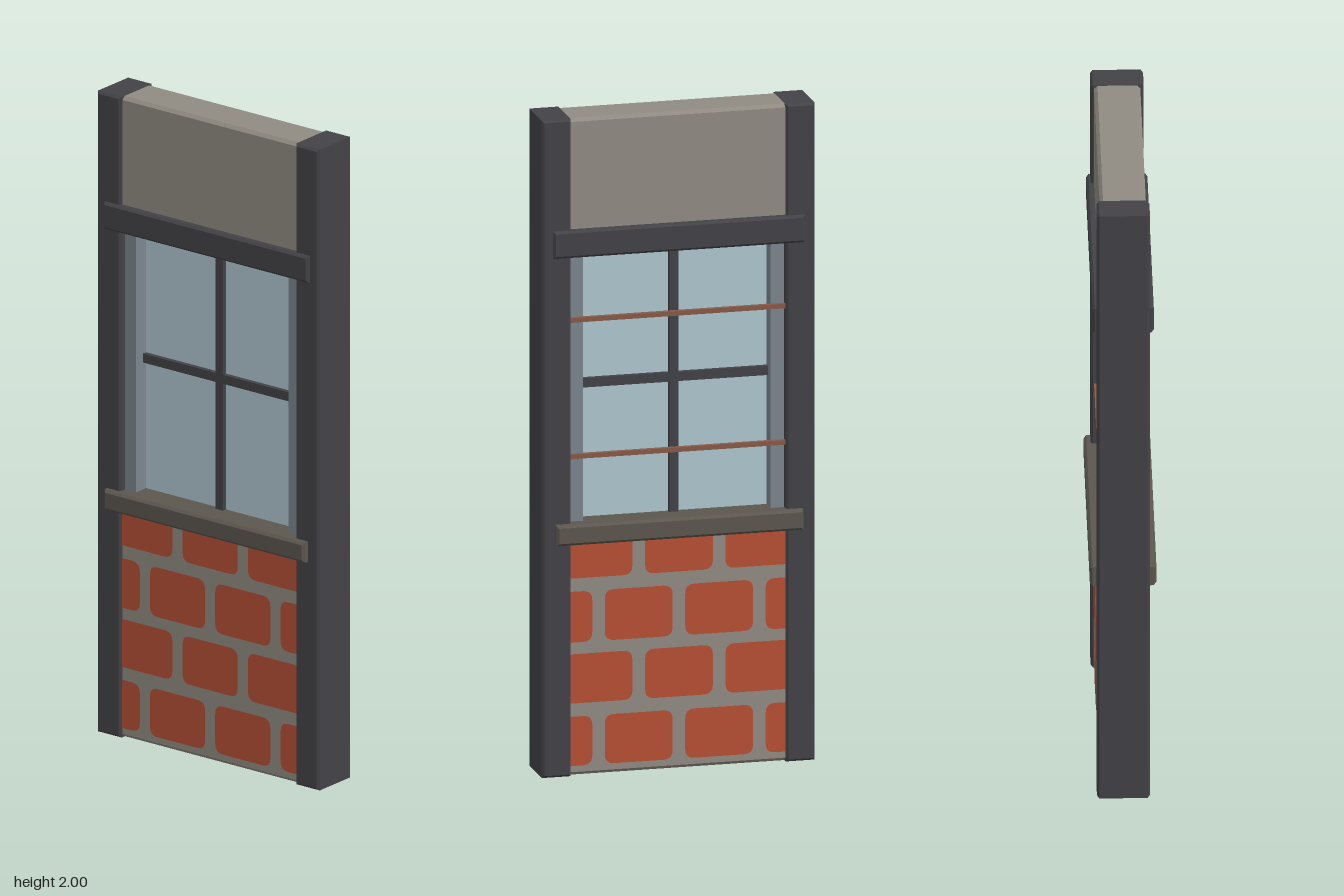
import * as THREE from 'three';

const material = (name, color) => {
  const m = new THREE.MeshStandardMaterial({ color });
  m.name = name;
  return m;
};

// Box spanning [x0,x1] x [y0,y1] x [-z,z] with chamfered edges
function chamferBox(x0, x1, y0, y1, z, c) {
  const s = new THREE.Shape();
  s.moveTo(x0 + c, y0 + c);
  s.lineTo(x1 - c, y0 + c);
  s.lineTo(x1 - c, y1 - c);
  s.lineTo(x0 + c, y1 - c);
  s.closePath();
  const g = new THREE.ExtrudeGeometry(s, {
    depth: 2 * (z - c), bevelEnabled: true, bevelSize: c, bevelThickness: c, bevelSegments: 1,
  });
  return g.translate(0, 0, -(z - c));
}

// Flat rounded rectangle facing +z
function roundedPlate(x0, x1, y0, y1, r) {
  const s = new THREE.Shape();
  s.moveTo(x0 + r, y0);
  s.lineTo(x1 - r, y0);
  s.quadraticCurveTo(x1, y0, x1, y0 + r);
  s.lineTo(x1, y1 - r);
  s.quadraticCurveTo(x1, y1, x1 - r, y1);
  s.lineTo(x0 + r, y1);
  s.quadraticCurveTo(x0, y1, x0, y1 - r);
  s.lineTo(x0, y0 + r);
  s.quadraticCurveTo(x0, y0, x0 + r, y0);
  return new THREE.ShapeGeometry(s, 4);
}

export function createModel() {
  const frameMat = material('dark frame', 0x434247);
  const plasterMat = material('plaster', 0x918b82);
  const brickMat = material('brick', 0xb75035);
  const sillMat = material('sill stone', 0x5c574f);
  const glassMat = material('glass', 0xafc7d1);
  const jambMat = material('grey jamb', 0x7c868e);
  const rodMat = material('brown rod', 0x8a5a48);

  const model = new THREE.Group();
  model.name = 'windowWall';
  const add = (name, geometry, mat, parent = model) => {
    const mesh = new THREE.Mesh(geometry, mat);
    mesh.name = name;
    parent.add(mesh);
    return mesh;
  };
  const box = (name, w, h, d, x, y, z, mat) =>
    add(name, new THREE.BoxGeometry(w, h, d).translate(x, y, z), mat);

  // Posts and window jambs
  for (const [side, s] of [['left', 1], ['right', -1]]) {
    const post = chamferBox(-0.044, 0.044, 0, 2, 0.078, 0.007);
    add(side + 'Post', post.translate(s * 0.37, 0, 0), frameMat);
    box(side + 'Jamb', 0.06, 0.85, 0.11, s * 0.315, 1.175, 0, jambMat);
  }

  // Wall panels, lintel and sill
  add('upperPanel', chamferBox(-0.36, 0.36, 1.61, 1.999, 0.068, 0.01), plasterMat);
  add('lowerWall', chamferBox(-0.36, 0.36, 0.001, 0.75, 0.068, 0.01), plasterMat);
  add('lintel', chamferBox(-0.382, 0.382, 1.58, 1.663, 0.09, 0.007), frameMat);
  add('sill', chamferBox(-0.375, 0.375, 0.707, 0.77, 0.098, 0.008), sillMat);

  // Glazing and its bars
  box('glass', 0.6, 0.84, 0.016, 0, 1.175, 0, glassMat);
  box('verticalBar', 0.028, 0.83, 0.045, 0, 1.175, 0, frameMat);
  box('horizontalBar', 0.57, 0.028, 0.045, 0, 1.18, 0, frameMat);

  // Thin rods across the back of the opening
  for (const y of [0.97, 1.385]) box('backRod', 0.66, 0.014, 0.014, 0, y, -0.061, rodMat);

  // Brick faces, the same on front and back; outer ends run behind the posts
  const rows = [[0.03, 0.18, 1], [0.22, 0.37, 0], [0.405, 0.56, 1], [0.6, 0.755, 0]];
  for (const [name, angle] of [['frontBricks', 0], ['backBricks', Math.PI]]) {
    const group = new THREE.Group();
    group.name = name;
    group.rotation.y = angle;
    model.add(group);
    for (const [y0, y1, odd] of rows) {
      for (let i = -2; i <= 2; i++) {
        const x = 0.003 + 0.244 * i + (odd ? 0.122 : 0);
        const x0 = Math.max(x - 0.103, -0.39), x1 = Math.min(x + 0.103, 0.39);
        if (x1 - x0 < 0.06) continue;
        add('brick', roundedPlate(x0, x1, y0, y1, 0.028).translate(0, 0, 0.0695), brickMat, group);
      }
    }
  }

  // Brick faces on the underside
  for (const [z0, z1, odd] of [[-0.056, -0.006, 0], [0.006, 0.056, 1]]) {
    for (let i = -1; i <= 1; i++) {
      const x = 0.22 * i + (odd ? 0.03 : -0.03);
      const g = roundedPlate(Math.max(x - 0.1, -0.33), Math.min(x + 0.1, 0.33), z0, z1, 0.008);
      add('bottomBrick', g.rotateX(Math.PI / 2).translate(0, 0.0002, 0), brickMat);
    }
  }
  return model;
}
